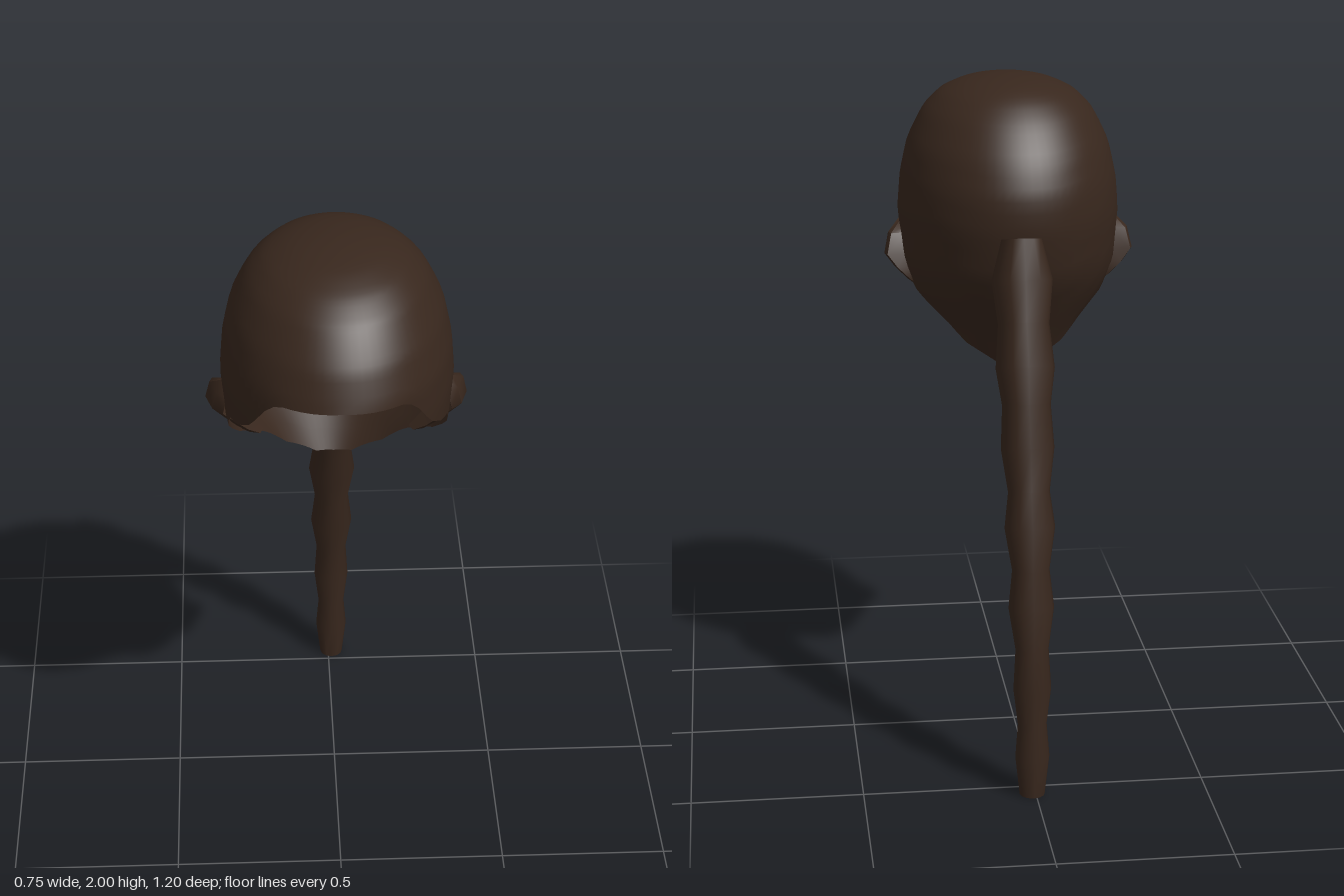
import * as THREE from 'three';
import { toCreasedNormals } from 'three/addons/utils/BufferGeometryUtils.js';

const hair = new THREE.MeshStandardMaterial({ color: 0x38271d, side: THREE.DoubleSide });

// Skin a list of closed rings, ordered from top to bottom
function loft(rings) {
  const n = rings[0].length, index = [];
  for (let i = 0; i < rings.length - 1; i++) {
    for (let j = 0; j < n; j++) {
      const a = i * n + j, b = a + n, c = i * n + (j + 1) % n, d = c + n;
      index.push(a, b, c, c, b, d);
    }
  }
  const g = new THREE.BufferGeometry();
  g.setAttribute('position', new THREE.Float32BufferAttribute(rings.flat(2), 3));
  g.setIndex(index);
  g.computeVertexNormals();
  return g;
}

// Piecewise-linear lookup: rows sorted by ascending first column
function lookup(rows, x, col) {
  let k = 1;
  while (k < rows.length - 1 && rows[k][0] < x) k++;
  const [p, q] = [rows[k - 1], rows[k]];
  const t = THREE.MathUtils.clamp((x - p[0]) / (q[0] - p[0]), 0, 1);
  return p[col] + (q[col] - p[col]) * t;
}

// Collapse a ring to its centre, for end caps
function centre(ring) {
  const c = [0, 1, 2].map(k => ring.reduce((s, p) => s + p[k], 0) / ring.length);
  return ring.map(() => c);
}

// Scalp shell: height, half width, front z, back z
const ZC = 0.17;
const section = [
  [2, 0, ZC, ZC], [1.995, 0.07, 0.25, 0.08], [1.98, 0.135, 0.34, 0], [1.95, 0.2, 0.42, -0.065],
  [1.9, 0.25, 0.49, -0.125], [1.8, 0.3, 0.565, -0.2], [1.7, 0.322, 0.605, -0.238],
  [1.6, 0.33, 0.6, -0.24], [1.45, 0.318, 0.6, -0.205], [1.36, 0.285, 0.6, -0.15],
  [1.28, 0.225, 0.6, -0.105], [1.22, 0.2, 0.6, -0.07], [1.16, 0.15, 0.6, -0.04],
].map(([y, ...r]) => [Math.sqrt(2 - y), ...r]);

// Hairline height by angle from the front (degrees)
const hairline = [
  [0, 1.7], [33, 1.69], [40, 1.65], [48, 1.58], [61, 1.53], [72, 1.51], [77, 1.46],
  [86, 1.4], [93, 1.36], [116, 1.29], [135, 1.22], [160, 1.165], [180, 1.16],
];

function scalpGeometry() {
  const rings = [], rows = 28, cols = 72;
  for (let i = 0; i <= rows; i++) {
    const ring = [];
    for (let j = 0; j < cols; j++) {
      const deg = j * 360 / cols, a = deg * Math.PI / 180;
      const rim = lookup(hairline, Math.min(deg, 360 - deg), 1);
      const s = Math.sqrt(2 - rim) * i / rows;
      const reach = Math.cos(a) > 0 ? lookup(section, s, 2) - ZC : ZC - lookup(section, s, 3);
      ring.push([lookup(section, s, 1) * Math.sin(a), 2 - s * s, ZC + reach * Math.cos(a)]);
    }
    rings.push(ring);
  }
  return loft(rings);
}

// Braid: alternating swells and waists (y, z, radius)
const braidPath = [
  [1.595, -0.275, 0.058], [1.48, -0.29, 0.088], [1.36, -0.328, 0.074], [1.24, -0.365, 0.085],
  [1.14, -0.395, 0.07], [1.02, -0.425, 0.077], [0.9, -0.456, 0.06], [0.8, -0.48, 0.073],
  [0.68, -0.503, 0.054], [0.57, -0.518, 0.066], [0.45, -0.537, 0.048], [0.33, -0.545, 0.055],
  [0.22, -0.545, 0.042], [0.12, -0.55, 0.05], [0, -0.548, 0.037],
];

function braidGeometry() {
  const last = braidPath.length - 1, sides = 12;
  const rings = braidPath.map(([y, z, r], i) => {
    const p = braidPath[Math.max(i - 1, 0)], q = braidPath[Math.min(i + 1, last)];
    const t = i === last ? [-1, 0] : [q[0] - p[0], q[1] - p[1]];
    const len = i === 0 ? Math.hypot(0.115, 0.03) : Math.hypot(...t);
    const [ty, tz] = i === 0 ? [-0.115 / len, -0.03 / len] : [t[0] / len, t[1] / len];
    return Array.from({ length: sides }, (_, j) => {
      const a = j * 2 * Math.PI / sides, f = r * Math.cos(a);
      return [0.01 + r * Math.sin(a), y + f * tz, z - f * ty];
    });
  });
  return toCreasedNormals(loft([centre(rings[0]), ...rings, centre(rings[last])]), 0.9);
}

// Tuft flaring out beside the ear (y, centre z, outer x, depth)
const tuftRows = [
  [1.565, 0.21, 0.325, 0.02], [1.53, 0.185, 0.362, 0.055], [1.47, 0.17, 0.375, 0.06],
  [1.43, 0.155, 0.345, 0.05], [1.39, 0.15, 0.305, 0.04], [1.36, 0.15, 0.27, 0.015],
];

function tuftGeometry() {
  const rings = tuftRows.map(([y, z, x, d]) => [
    [x - 0.05, y, z + d], [x - 0.02, y, z + d * 0.5], [x, y, z - d * 0.6],
    [x - 0.008, y, z - d], [x - 0.06, y, z - d * 0.8],
  ]);
  return toCreasedNormals(loft([centre(rings[0]), ...rings, centre(rings.at(-1))]), 0.8);
}

export function createModel() {
  const model = new THREE.Group();
  model.name = 'braidedHair';
  const add = (name, geometry) => {
    const mesh = new THREE.Mesh(geometry, hair);
    mesh.name = name;
    model.add(mesh);
    return mesh;
  };
  add('scalpHair', scalpGeometry());
  add('braid', braidGeometry());
  const tuft = tuftGeometry();
  add('leftEarTuft', tuft);
  add('rightEarTuft', tuft).scale.x = -1;
  return model;
}
